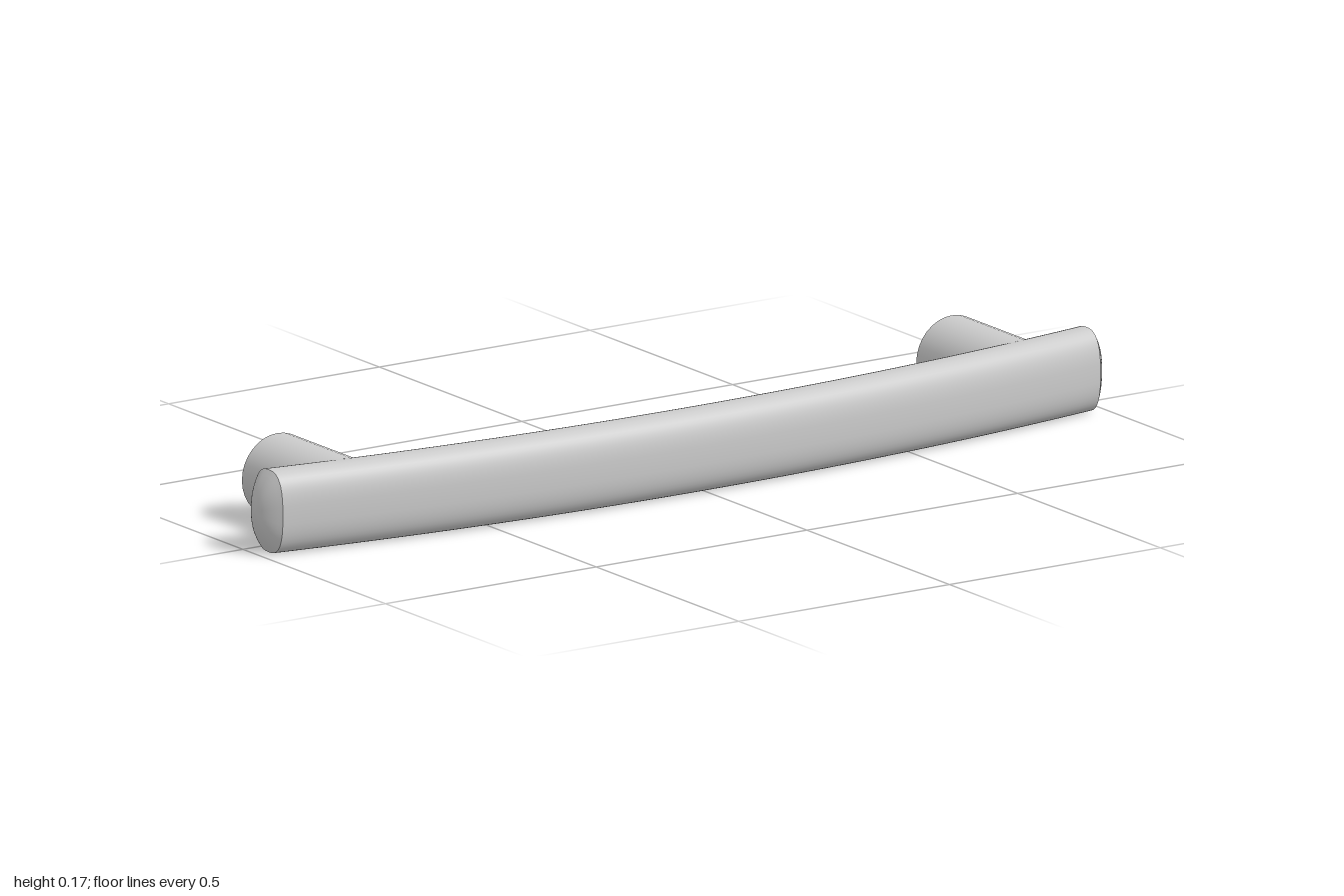
import * as THREE from 'three';

const HALF_H = 0.084, HALF_T = 0.05, MID_Y = 0.086, END_X = 0.97, SIDES = 48;

// Depth of the bar's centre line: a shallow bow towards the front
const bowZ = (x) => 0.125 - 0.079 * (x / END_X) ** 2;

// Rounded-oblong rings lofted along +x; each station is [x, scale]
function loft(stations) {
  const positions = [], index = [];
  const soft = (v) => Math.sign(v) * Math.abs(v) ** (2 / 2.7);
  stations.forEach(([x, s], i) => {
    for (let j = 0; j < SIDES; j++) {
      const a = (j / SIDES) * Math.PI * 2;
      positions.push(x, MID_Y + s * HALF_H * soft(Math.cos(a)), bowZ(x) + s * HALF_T * soft(Math.sin(a)));
      if (i === stations.length - 1) continue;
      const p = i * SIDES + j, q = i * SIDES + ((j + 1) % SIDES);
      index.push(p, q, p + SIDES, q, q + SIDES, p + SIDES);
    }
  });
  const geometry = new THREE.BufferGeometry();
  geometry.setAttribute('position', new THREE.Float32BufferAttribute(positions, 3));
  geometry.setIndex(index);
  geometry.computeVertexNormals();
  return geometry;
}

export function createModel() {
  const group = new THREE.Group();
  const material = new THREE.MeshStandardMaterial({ color: 0xcccccc });
  const add = (name, geometry) => {
    const mesh = new THREE.Mesh(geometry, material);
    mesh.name = name;
    group.add(mesh);
    return mesh;
  };

  // Bowed grip
  const grip = [];
  for (let i = 0; i <= 40; i++) grip.push([END_X * (i / 20 - 1), 1]);
  add('gripBar', loft(grip));

  // Shallow domed ends, separate so the rim stays crisp
  const dome = [];
  for (let i = 0; i <= 8; i++) {
    const s = 1 - i / 8;
    dome.push([END_X + (1 - END_X) * (1 - s * s), s]);
  }
  add('leftEndCap', loft(dome));
  add('rightEndCap', loft(dome.map(([x, s]) => [-x, s]).reverse()));

  // Round mounting posts running back from the grip
  for (const side of [1, -1]) {
    const back = -0.175, front = 0.06;
    const post = add(side > 0 ? 'leftPost' : 'rightPost',
      new THREE.CylinderGeometry(HALF_H, HALF_H, front - back, 32));
    post.rotation.x = Math.PI / 2;
    post.position.set(side * 0.8, MID_Y, (front + back) / 2);
  }

  // Rest the model on the ground
  group.children.forEach((part) => { part.position.y -= MID_Y - HALF_H; });
  return group;
}
